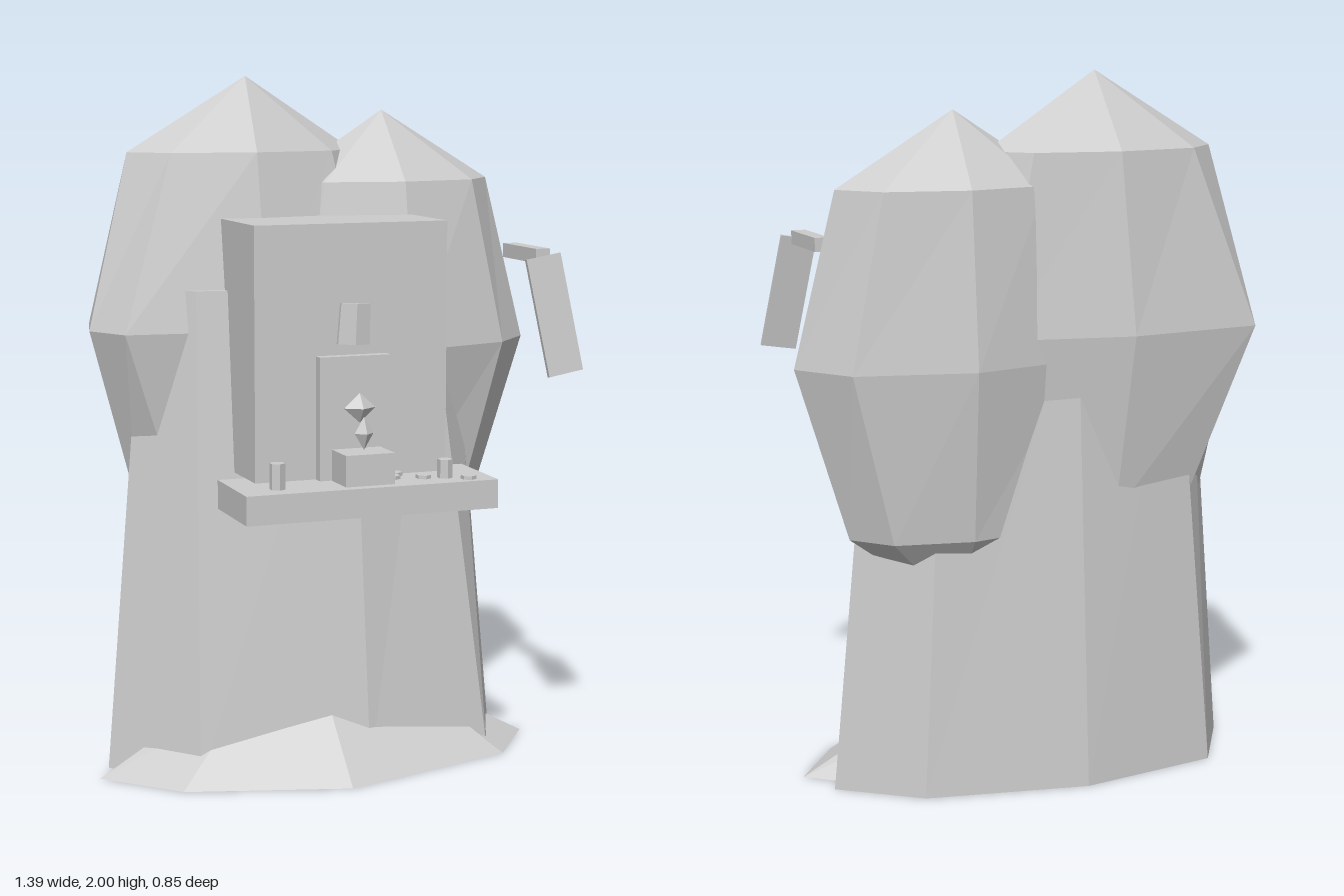
import * as THREE from 'three';

const stone = new THREE.MeshStandardMaterial({ color: 0xcccccc });
stone.name = 'pale stone';

// Skin a stack of rings of [x, y, z] points (each ring runs front -> +x -> back), closed by end points
function loft(bottom, rings, top) {
  const v = [];
  const n = rings[0].length;
  for (let i = 0; i < n; i++) {
    const j = (i + 1) % n;
    v.push(...bottom, ...rings[0][j], ...rings[0][i]);
    for (let r = 0; r < rings.length - 1; r++) {
      const lo = rings[r], hi = rings[r + 1];
      v.push(...lo[i], ...lo[j], ...hi[j], ...lo[i], ...hi[j], ...hi[i]);
    }
    const last = rings[rings.length - 1];
    v.push(...top, ...last[i], ...last[j]);
  }
  const g = new THREE.BufferGeometry();
  g.setAttribute('position', new THREE.Float32BufferAttribute(v, 3));
  g.computeVertexNormals();
  return g;
}

const ringAt = (pts, y) => pts.map(([x, z]) => [x, y, z]);

// Eight-sided ring around a centre
function oval(cx, cz, rx, rz) {
  return Array.from({ length: 8 }, (_, i) => {
    const a = i * Math.PI / 4;
    return [cx + rx * Math.sin(a), cz + rz * Math.cos(a)];
  });
}

export function createModel() {
  const model = new THREE.Group();
  const add = (name, geometry, x = 0, y = 0, z = 0) => {
    const g = geometry.index ? geometry.toNonIndexed() : geometry;
    g.computeVertexNormals();
    const m = new THREE.Mesh(g, stone);
    m.name = name;
    m.position.set(x, y, z);
    model.add(m);
    return m;
  };
  // Box given by its limits
  const block = (name, x0, x1, y0, y1, z0, z1) => add(name,
    new THREE.BoxGeometry(x1 - x0, y1 - y0, z1 - z0), (x0 + x1) / 2, (y0 + y1) / 2, (z0 + z1) / 2);

  // Tapering faceted trunk
  const trunkLow = [[0.06, 0.18], [0.46, 0.12], [0.59, -0.16], [0.38, -0.33],
    [-0.08, -0.42], [-0.5, -0.35], [-0.65, -0.11], [-0.44, 0.12]];
  const trunkHigh = [[0.05, 0.05], [0.32, -0.01], [0.46, -0.17], [0.3, -0.29],
    [-0.07, -0.35], [-0.4, -0.3], [-0.52, -0.15], [-0.4, -0.01]];
  add('trunk', loft([0, 0, -0.14], [ringAt(trunkLow, 0), ringAt(trunkHigh, 1.4)], [0, 1.4, -0.15]));

  // Sloping skirt around the foot
  const skirtLow = [[-0.05, 0.32], [0.49, 0.17], [0.64, -0.03], [0.45, -0.2],
    [-0.03, -0.3], [-0.45, -0.22], [-0.7, -0.02], [-0.51, 0.18]];
  const skirtHigh = [[-0.05, 0.12], [0.26, 0.04], [0.27, -0.04], [0.2, -0.15],
    [-0.03, -0.2], [-0.25, -0.15], [-0.35, -0.04], [-0.29, 0.04]];
  add('footSkirt', loft([0, 0, 0], [ringAt(skirtLow, 0), ringAt(skirtHigh, 0.2)], [0, 0.2, 0]));

  // Two overlapping faceted boulders
  const tallMid = [[-0.19, 0.01], [0.15, -0.04], [0.29, -0.19], [0.15, -0.34],
    [-0.22, -0.41], [-0.62, -0.365], [-0.67, -0.17], [-0.6, -0.04]];
  add('tallBoulder', loft([-0.19, 0.56, -0.19], [
    ringAt(oval(-0.19, -0.2, 0.34, 0.15), 0.77),
    ringAt(tallMid, 1.28),
    ringAt(oval(-0.195, -0.215, 0.345, 0.145), 1.785),
  ], [-0.19, 2, -0.19]));
  const shortMid = [[0.25, 0.05], [0.57, -0.04], [0.69, -0.165], [0.58, -0.33],
    [0.25, -0.41], [-0.08, -0.33], [-0.2, -0.18], [-0.08, -0.02]];
  add('shortBoulder', loft([0.235, 0.5, -0.19], [
    ringAt(oval(0.24, -0.2, 0.31, 0.155), 0.73),
    ringAt(shortMid, 1.21),
    ringAt(oval(0.25, -0.2, 0.33, 0.165), 1.695),
  ], [0.235, 1.9, -0.19]));

  // Shrine block, shelf and niche
  block('shrineBlock', -0.31, 0.265, 0.885, 1.6, -0.1, 0.235);
  block('shelf', -0.392, 0.35, 0.803, 0.885, 0.15, 0.41).rotation.y = -0.012;
  block('nichePanel', -0.13, 0.08, 0.885, 1.233, 0.23, 0.268);
  block('pedestal', -0.095, 0.05, 0.885, 0.973, 0.24, 0.378);

  // Crystals and keystone
  add('upperCrystal', new THREE.OctahedronGeometry(1).scale(0.047, 0.042, 0.03), -0.02, 1.09, 0.289);
  add('lowerCrystal', new THREE.OctahedronGeometry(1).scale(0.028, 0.047, 0.025), -0.02, 1.023, 0.322);
  const keystone = add('keystone',
    new THREE.CylinderGeometry(0.05, 0.055, 0.115, 6).scale(1, 1, 0.45), -0.018, 1.32, 0.235);
  keystone.rotation.z = -0.05;

  // Candles and coins laid on the shelf
  const offerings = [['candle', -0.28, 0.335, 0.073], ['candle', 0.22, 0.335, 0.053],
    ['coin', 0.1, 0.255, 0.01], ['coin', 0.075, 0.3, 0.01],
    ['coin', 0.16, 0.322, 0.01], ['coin', 0.275, 0.375, 0.01]];
  for (const [name, x, z, h] of offerings) {
    add(name, new THREE.CylinderGeometry(0.022, 0.022, h, 6), x, 0.885 + h / 2, z);
  }

  // Side bar with its hanging board
  block('signBar', 0.472, 0.515, 1.485, 1.525, 0.165, 0.38);
  add('hangingBoard', new THREE.BoxGeometry(0.107, 0.335, 0.012), 0.52, 1.34, 0.403)
    .rotation.set(-0.13, 0, 0.165);

  return model;
}
